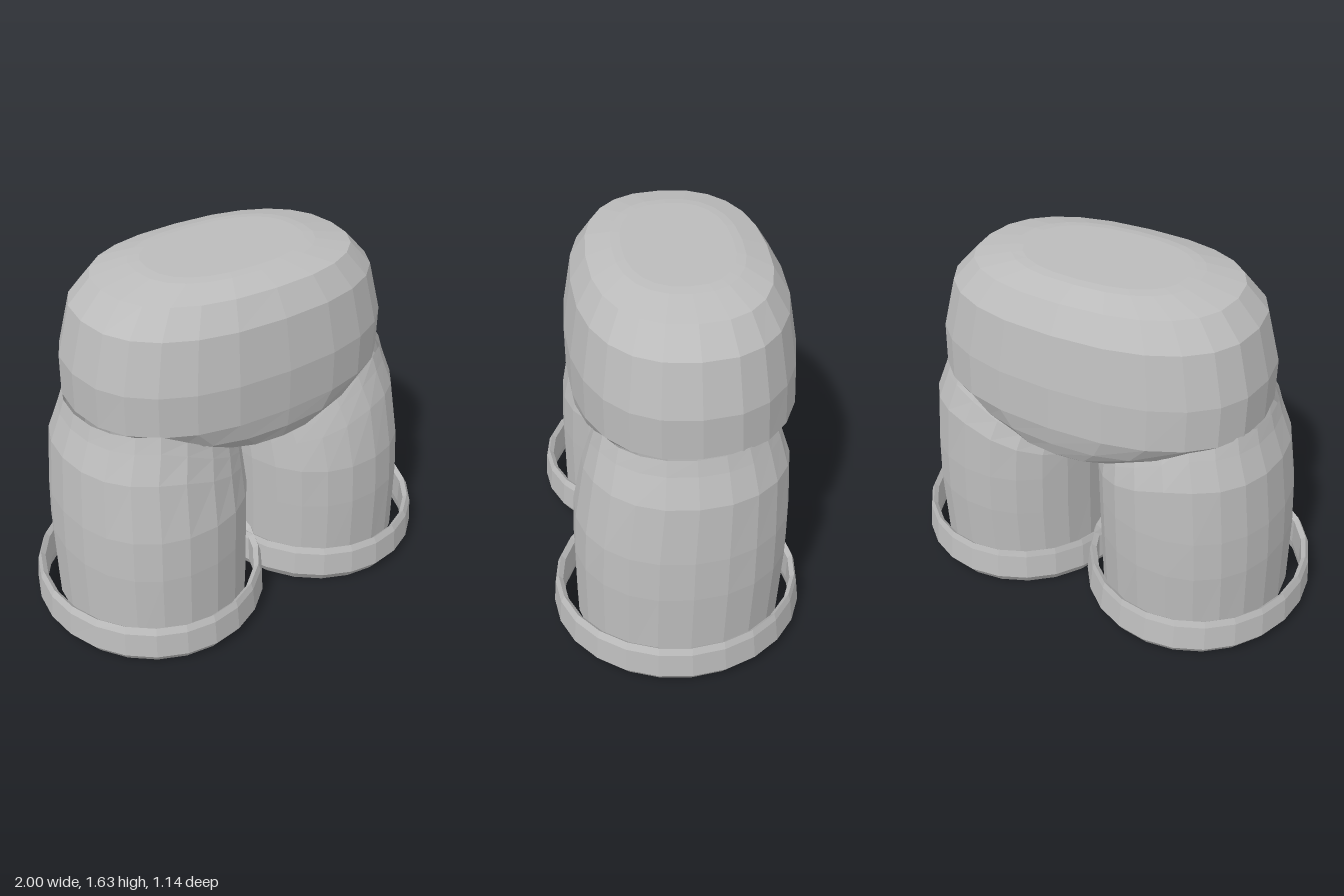
import * as THREE from 'three';

const grey = new THREE.MeshStandardMaterial({ color: 0xbcbcbc, flatShading: true, side: THREE.DoubleSide });
grey.name = 'grey cloth';

// Skins a stack of rounded rings, listed from the bottom up: [y, x0, x1, z0, z1].
// power rounds the section (2 = ellipse); rim(x, y) may lower a point.
function loft(name, rings, { segments = 22, power = 2, capped = false, closed = false, rim = (x, y) => y } = {}) {
  const pos = [], index = [];
  for (const [y, x0, x1, z0, z1] of rings) {
    for (let i = 0; i < segments; i++) {
      const a = (i / segments) * Math.PI * 2, c = Math.cos(a), s = Math.sin(a);
      const x = (x0 + x1) / 2 + ((x1 - x0) / 2) * Math.sign(c) * Math.abs(c) ** (2 / power);
      const z = (z0 + z1) / 2 + ((z1 - z0) / 2) * Math.sign(s) * Math.abs(s) ** (2 / power);
      pos.push(x, rim(x, y), z);
    }
  }
  const rows = rings.length;
  for (let r = 0; r < (closed ? rows : rows - 1); r++) {
    const lo = r * segments, hi = ((r + 1) % rows) * segments;
    for (let i = 0; i < segments; i++) {
      const j = (i + 1) % segments;
      index.push(lo + i, hi + i, lo + j, lo + j, hi + i, hi + j);
    }
  }
  if (capped) {
    const top = (rows - 1) * segments;
    for (let i = 1; i < segments - 1; i++) {
      index.push(0, i, i + 1, top, top + i + 1, top + i);
    }
  }
  const geometry = new THREE.BufferGeometry();
  geometry.setAttribute('position', new THREE.Float32BufferAttribute(pos, 3));
  geometry.setIndex(index);
  geometry.computeVertexNormals();
  const mesh = new THREE.Mesh(geometry, grey);
  mesh.name = name;
  return mesh;
}

export function createModel() {
  const model = new THREE.Group();
  model.name = 'trousers';

  // Hips: rounded block narrowing to the crotch, flat on top
  const hips = [
    [0.77, 0.09, -0.27, 0.16],
    [0.83, 0.23, -0.45, 0.31],
    [0.9, 0.42, -0.53, 0.4],
    [0.97, 0.62, -0.555, 0.43],
    [1.06, 0.76, -0.57, 0.44],
    [1.25, 0.76, -0.56, 0.44],
    [1.48, 0.7, -0.52, 0.4],
    [1.59, 0.6, -0.45, 0.33],
    [1.625, 0.43, -0.34, 0.22],
    [1.63, 0.38, -0.3, 0.18],
  ].map(([y, rx, z0, z1]) => [y, -rx, rx, z0, z1]);
  model.add(loft('hips', hips, { segments: 24, power: 2.4, capped: true }));

  // Legs: open tubes whose top edge drops towards the crotch
  const leg = [
    [0.03, 0.03, 0.89, -0.48, 0.465],
    [0.4, 0.025, 0.89, -0.5, 0.465],
    [0.6, 0.02, 0.88, -0.5, 0.455],
    [0.87, 0.02, 0.85, -0.49, 0.41],
    [1.0, 0.02, 0.8, -0.455, 0.375],
    [1.07, 0.02, 0.78, -0.43, 0.355],
  ];
  const slope = (x, y) => {
    const drop = 0.29 * THREE.MathUtils.clamp((0.55 - Math.abs(x)) / 0.5, 0, 1);
    return y - drop * THREE.MathUtils.clamp((y - 0.6) / 0.47, 0, 1);
  };

  // Cuffs: thin loose hoops around the ankles, as a closed section
  const cuff = [
    [0.0, -0.03, 0.965, -0.54, 0.535],
    [0.05, -0.06, 1.0, -0.575, 0.57],
    [0.17, -0.05, 0.99, -0.56, 0.56],
    [0.2, -0.04, 0.975, -0.55, 0.545],
    [0.18, -0.015, 0.955, -0.53, 0.525],
    [0.05, -0.015, 0.955, -0.53, 0.525],
  ];

  const mirror = ([y, x0, x1, z0, z1]) => [y, -x1, -x0, z0, z1];
  for (const [side, place] of [['left', (r) => r], ['right', mirror]]) {
    model.add(loft(side + ' leg', leg.map(place), { power: 2.15, rim: slope }));
    model.add(loft(side + ' cuff', cuff.map(place), { segments: 24, closed: true }));
  }
  return model;
}
